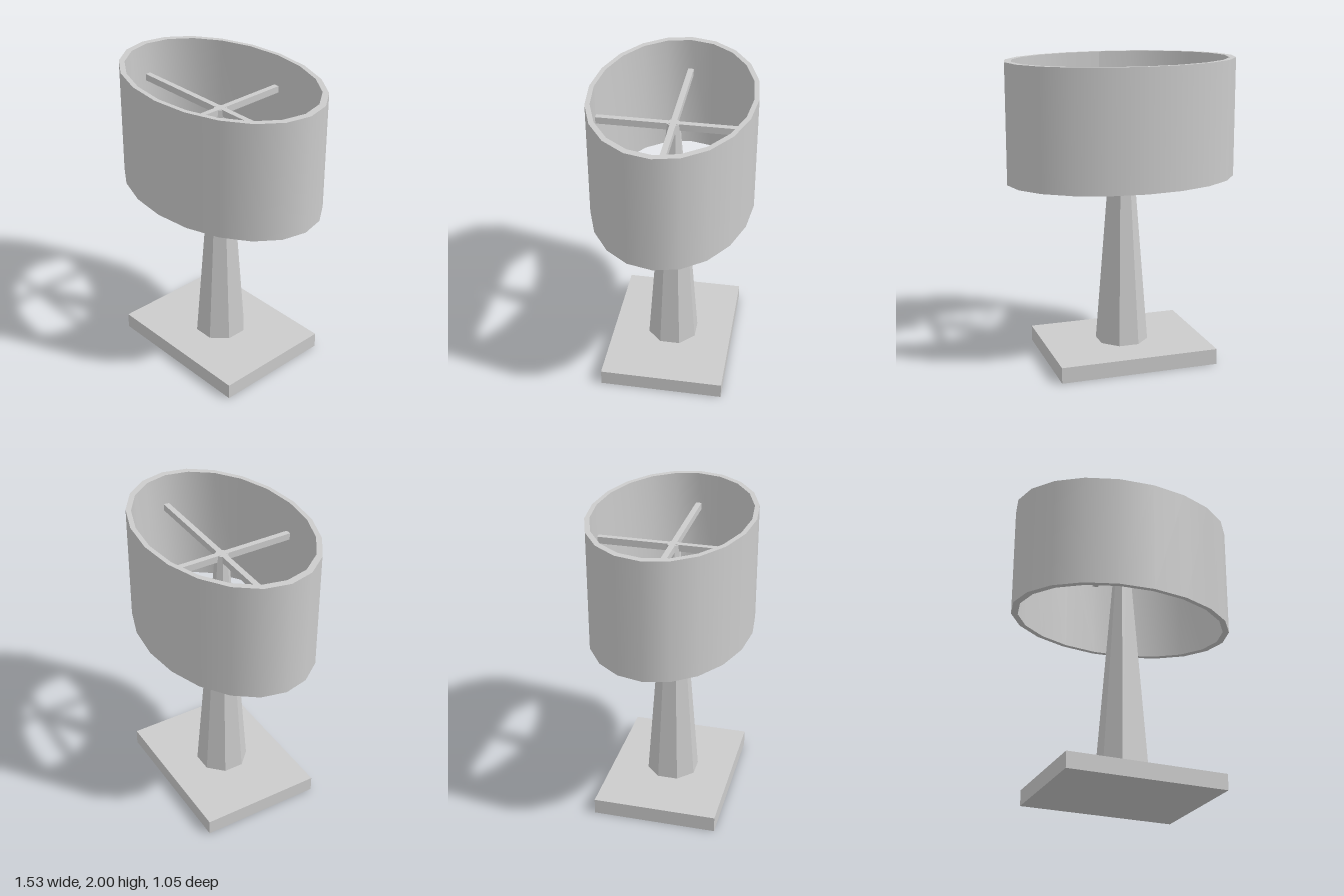
import * as THREE from 'three';

const material = new THREE.MeshStandardMaterial({ color: 0xcccccc });
const flat = new THREE.MeshStandardMaterial({ color: 0xcccccc, flatShading: true });

export function createModel() {
  const group = new THREE.Group();
  const add = (name, geometry, y, mat = flat) => {
    const mesh = new THREE.Mesh(geometry, mat);
    mesh.name = name;
    mesh.position.y = y;
    group.add(mesh);
    return mesh;
  };

  // Rectangular foot plate
  add('base', new THREE.BoxGeometry(1.06, 0.105, 0.82), 0.0525);

  // Tapered eight-sided stem, flat faces to the front and sides
  const stemBottom = 0.105, stemTop = 1.788;
  const corner = 1 / Math.cos(Math.PI / 8);
  const stem = new THREE.CylinderGeometry(0.04 * corner, 0.162 * corner, stemTop - stemBottom, 8);
  stem.rotateY(Math.PI / 8);
  add('stem', stem, (stemBottom + stemTop) / 2);

  // Crossed bars that carry the shade
  add('crossBarWide', new THREE.BoxGeometry(1.44, 0.045, 0.038), 1.7675);
  add('crossBarDeep', new THREE.BoxGeometry(0.038, 0.045, 0.99), 1.7675);

  // Oval shade: smooth walls, open at both ends, with flat rims
  const shadeBottom = 1.22, shadeTop = 2, sides = 20;
  const outer = [0.765, 0.525], inner = [0.72, 0.495];
  const wall = ([rx, rz]) => new THREE.CylinderGeometry(1, 1, shadeTop - shadeBottom, sides, 1, true)
    .scale(rx, 1, rz);
  const middle = (shadeBottom + shadeTop) / 2;
  add('shadeOuterWall', wall(outer), middle, material);

  // Inner wall is turned to face the axis
  const innerWall = wall(inner);
  const index = innerWall.index.array;
  for (let i = 0; i < index.length; i += 3) [index[i], index[i + 1]] = [index[i + 1], index[i]];
  innerWall.computeVertexNormals();
  add('shadeInnerWall', innerWall, middle, material);

  const oval = ([rx, rz]) => Array.from({ length: sides }, (_, i) => {
    const a = (i / sides) * Math.PI * 2;
    return new THREE.Vector2(rx * Math.cos(a), rz * Math.sin(a));
  });
  const ring = new THREE.Shape(oval(outer));
  ring.holes.push(new THREE.Path(oval(inner)));
  for (const [name, y, turn] of [['shadeTopRim', shadeTop, -1], ['shadeBottomRim', shadeBottom, 1]]) {
    add(name, new THREE.ShapeGeometry(ring).rotateX(turn * Math.PI / 2), y);
  }
  return group;
}
